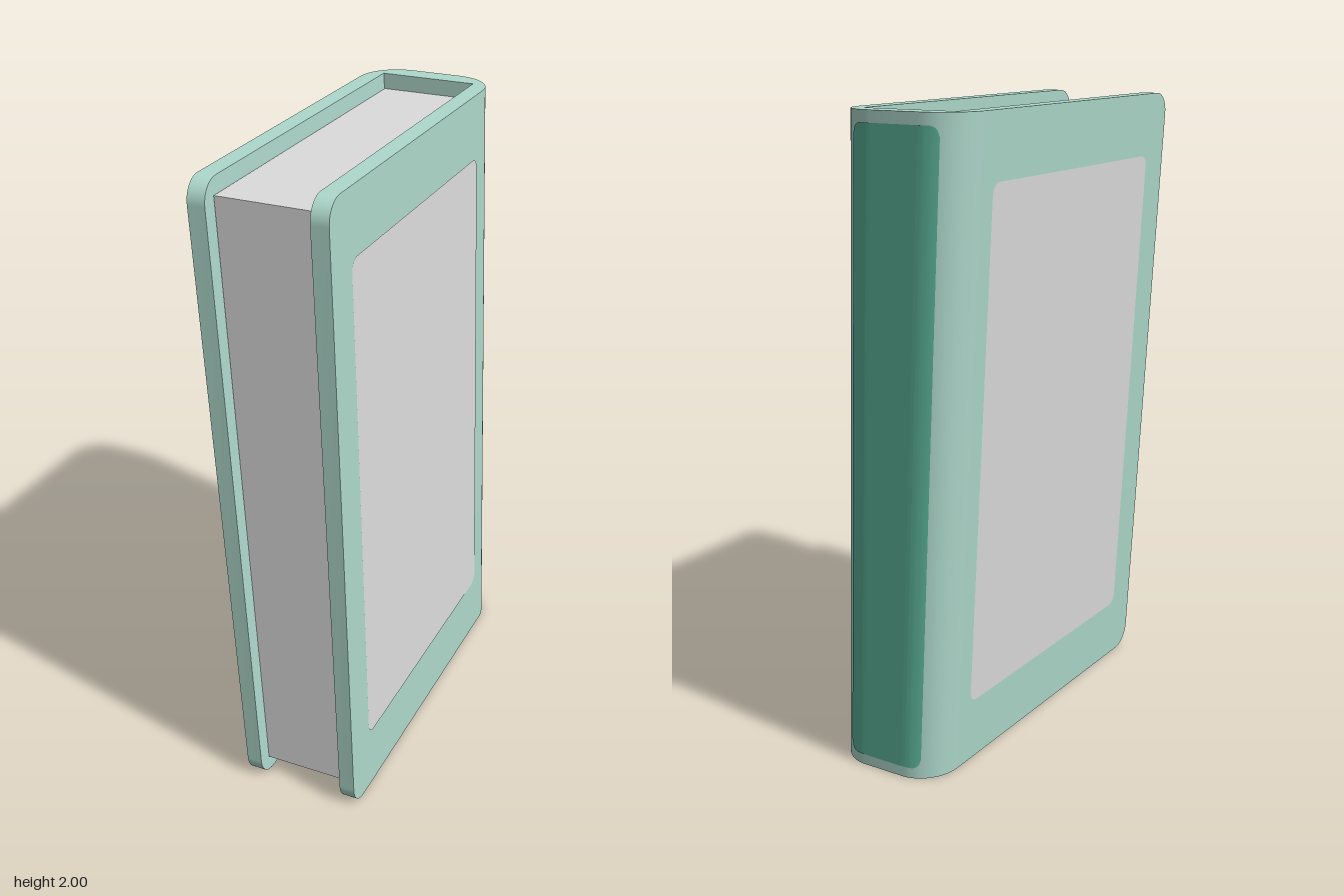
import * as THREE from 'three';
import { toCreasedNormals } from 'three/addons/utils/BufferGeometryUtils.js';

const H = 2, HALF = 0.21, INNER = 0.155, FRONT = 0.627, BEND = 0.497, R = 0.13;

const material = (name, color) => {
  const m = new THREE.MeshStandardMaterial({ color });
  m.name = name;
  return m;
};

// Lean the book towards -x and make it slightly thinner at the foot
function lean(geometry) {
  const p = geometry.attributes.position;
  for (let i = 0; i < p.count; i++) {
    const t = p.getY(i) / H;
    p.setX(i, p.getX(i) * (0.893 + 0.107 * t) + 0.0525 - 0.0875 * t);
  }
  return toCreasedNormals(geometry, 0.6);
}

// Rectangle with separate corner radii on its low-x and high-x ends
function roundedRect(x0, x1, y0, y1, r0, r1) {
  const s = new THREE.Shape();
  s.moveTo(x0 + r0, y0);
  s.lineTo(x1 - r1, y0);
  s.absarc(x1 - r1, y0 + r1, r1, -Math.PI / 2, 0);
  s.absarc(x1 - r1, y1 - r1, r1, 0, Math.PI / 2);
  s.lineTo(x0 + r0, y1);
  if (r0 > 0) {
    s.absarc(x0 + r0, y1 - r0, r0, Math.PI / 2, Math.PI);
    s.absarc(x0 + r0, y0 + r0, r0, Math.PI, Math.PI * 1.5);
  }
  return s;
}

export function createModel() {
  const book = new THREE.Group();
  book.name = 'book';
  const coverMat = material('pale green cover', 0xaed8cb);
  const paperMat = material('light grey paper', 0xdcdcdc);
  const labelMat = material('green spine label', 0x5bb297);
  const add = (name, geometry, mat) => {
    const mesh = new THREE.Mesh(lean(geometry), mat);
    mesh.name = name;
    book.add(mesh);
  };

  // Cover boards with rounded fore-edge corners, each with an inset panel
  for (const side of [1, -1]) {
    const label = side > 0 ? 'left' : 'right';
    const board = new THREE.ExtrudeGeometry(roundedRect(-BEND, FRONT, 0, H, 0, 0.07),
      { depth: HALF - INNER, bevelEnabled: false, curveSegments: 6 });
    board.rotateY(-Math.PI / 2).translate(side > 0 ? HALF : -INNER, 0, 0);
    add(label + 'Cover', board, coverMat);

    const z0 = -0.44, z1 = 0.505;
    const shape = side > 0 ? roundedRect(-z1, -z0, 0.2, 1.8, 0.035, 0.035)
      : roundedRect(z0, z1, 0.2, 1.8, 0.035, 0.035);
    const panel = new THREE.ShapeGeometry(shape, 6);
    panel.rotateY(side * Math.PI / 2).translate(side * (HALF + 0.002), 0, 0);
    add(label + 'CoverPanel', panel, paperMat);
  }

  // Spine with rounded outer corners and a square inside
  const cx = HALF - R;
  const s = new THREE.Shape();
  s.moveTo(HALF, BEND);
  s.absarc(cx, BEND, R, 0, Math.PI / 2);
  s.absarc(-cx, BEND, R, Math.PI / 2, Math.PI);
  s.lineTo(-INNER, BEND);
  s.lineTo(-INNER, 0.555);
  s.lineTo(INNER, 0.555);
  s.lineTo(INNER, BEND);
  const spine = new THREE.ExtrudeGeometry(s, { depth: H, bevelEnabled: false, curveSegments: 6 });
  add('spine', spine.rotateX(-Math.PI / 2), coverMat);

  // Spine label wrapped round the spine, with rounded corners
  const w = 0.145, corner = 0.03;
  const wrap = new THREE.PlaneGeometry(2 * w, 1.93, 40, 1).rotateY(Math.PI);
  const p = wrap.attributes.position;
  for (let i = 0; i < p.count; i++) {
    const x = p.getX(i), y = p.getY(i);
    const d = Math.max(0, Math.abs(x) - (w - corner));
    const cut = corner - Math.sqrt(Math.max(0, corner * corner - d * d));
    const dx = Math.max(0, Math.abs(x) - cx);
    p.setXYZ(i, x, 1 + y - Math.sign(y) * cut, -BEND - Math.sqrt((R + 0.003) ** 2 - dx * dx));
  }
  add('spineLabel', wrap, labelMat);

  // Page block, set in from the cover edges
  const pages = new THREE.BoxGeometry(0.306, 1.895, 1.135);
  add('pages', pages.translate(0, 1.0025, 0.0125), paperMat);

  return book;
}
